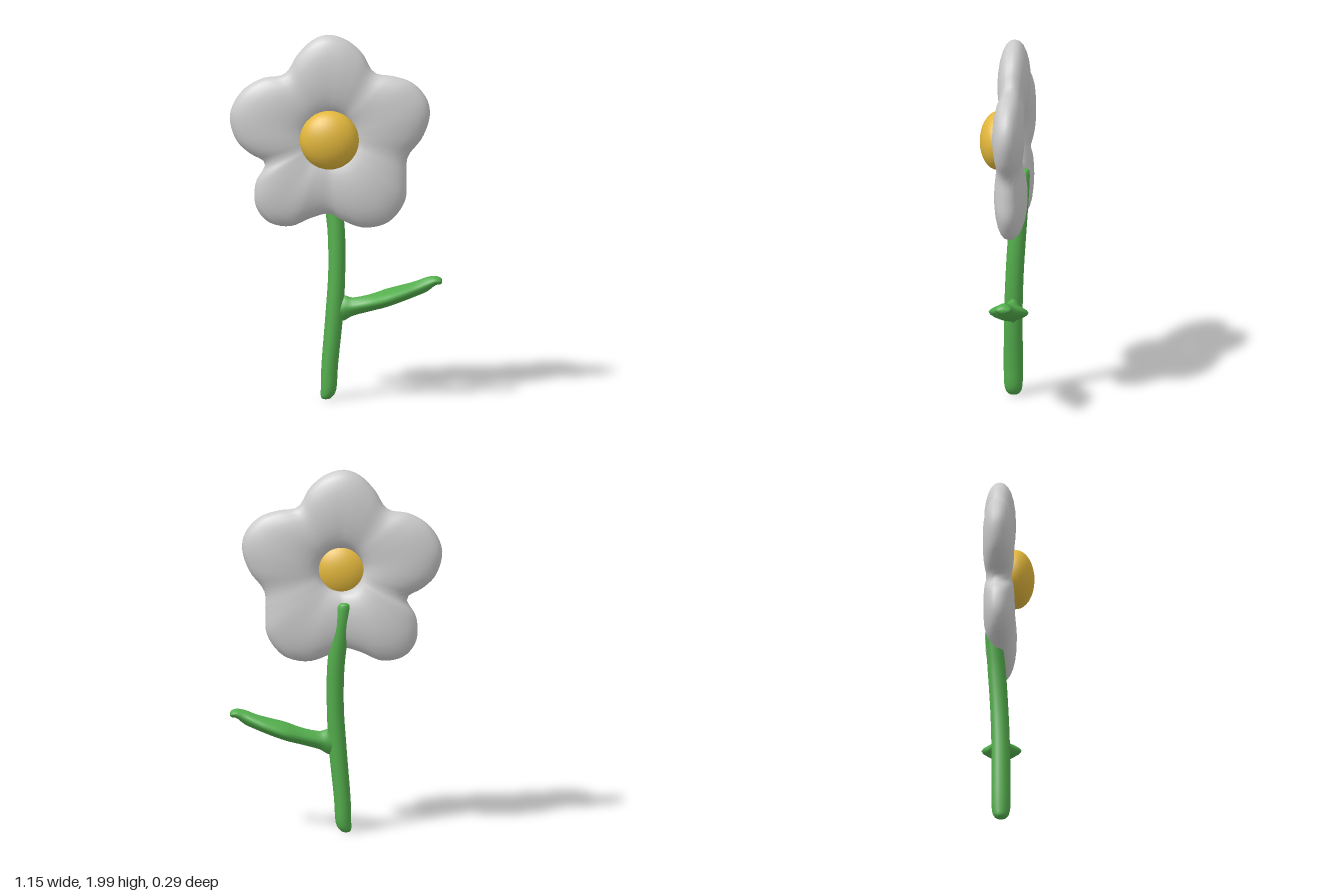
import * as THREE from 'three';

const TAU = Math.PI * 2;

// Skin a list of equal-sized rings; closed joins the last ring to the first
function loft(rings, closed = false) {
  const n = rings[0].length, position = [], index = [];
  rings.forEach(ring => ring.forEach(p => position.push(...p)));
  const spans = closed ? rings.length : rings.length - 1;
  for (let i = 0; i < spans; i++) {
    const k = (i + 1) % rings.length;
    for (let j = 0; j < n; j++) {
      const m = (j + 1) % n;
      const a = i * n + j, b = k * n + j, c = i * n + m, d = k * n + m;
      index.push(a, b, c, b, d, c);
    }
  }
  const geometry = new THREE.BufferGeometry();
  geometry.setAttribute('position', new THREE.Float32BufferAttribute(position, 3));
  geometry.setIndex(index);
  geometry.computeVertexNormals();
  return geometry;
}

const ring = (n, point) => Array.from({ length: n }, (_, j) => point(Math.cos(j / n * TAU), Math.sin(j / n * TAU)));

// Smoothly resample rows of four numbers along the first one
function resample(rows, steps) {
  const a = new THREE.CatmullRomCurve3(rows.map(r => new THREE.Vector3(r[0], r[1], r[2])), false, 'catmullrom', 0.5);
  const b = new THREE.CatmullRomCurve3(rows.map(r => new THREE.Vector3(r[3], r[4], 0)), false, 'catmullrom', 0.5);
  return Array.from({ length: steps + 1 }, (_, i) => {
    const p = a.getPoint(i / steps), q = b.getPoint(i / steps);
    return [p.x, p.y, p.z, Math.max(q.x, 0), Math.max(q.y, 0)];
  });
}

// Puffy ring of five petals around a small open hole
function petalGeometry() {
  const cx = -0.03, cy = 1.45, cz = -0.04, hole = 0.12;
  // outline x, y and half thickness
  const outline = [
    [0.505, 1.56, 0.085], [0.49, 1.65, 0.085], [0.41, 1.74, 0.082], [0.31, 1.775, 0.077],
    [0.205, 1.795, 0.07], [0.14, 1.9, 0.079], [0.05, 1.975, 0.085], [-0.05, 2.0, 0.085],
    [-0.13, 1.97, 0.084], [-0.21, 1.89, 0.078], [-0.28, 1.785, 0.07], [-0.4, 1.76, 0.078],
    [-0.51, 1.69, 0.084], [-0.575, 1.56, 0.085], [-0.54, 1.42, 0.083], [-0.47, 1.35, 0.077],
    [-0.385, 1.295, 0.068], [-0.435, 1.19, 0.078], [-0.435, 1.06, 0.084], [-0.37, 0.975, 0.085],
    [-0.25, 0.95, 0.085], [-0.14, 0.995, 0.077], [-0.04, 1.02, 0.07], [0.04, 0.98, 0.077],
    [0.15, 0.945, 0.084], [0.28, 0.975, 0.085], [0.37, 1.09, 0.084], [0.38, 1.22, 0.077],
    [0.385, 1.33, 0.07], [0.465, 1.44, 0.079],
  ];
  const curve = new THREE.CatmullRomCurve3(outline.map(p => new THREE.Vector3(...p)), true);
  const rings = curve.getSpacedPoints(120).slice(0, -1).map(p => {
    const dx = p.x - cx, dy = p.y - cy, r = Math.hypot(dx, dy);
    const mid = (r + hole) / 2, half = (r - hole) / 2;
    return ring(24, (c, s) => {
      const q = (mid + half * c) / r;
      return [cx + dx * q, cy + dy * q, cz + p.z * Math.sign(s) * Math.abs(s) ** 0.9];
    });
  });
  return loft(rings, true);
}

// Stem stations: x, y, z, half width, half depth
function stemGeometry() {
  const rows = [
    [-0.055, 0.008, -0.035, 0, 0], [-0.055, 0.012, -0.035, 0.026, 0.03], [-0.042, 0.06, -0.035, 0.042, 0.049],
    [-0.035, 0.2, -0.035, 0.045, 0.052], [-0.01, 0.48, -0.038, 0.048, 0.05], [0.002, 0.7, -0.046, 0.046, 0.049],
    [0, 0.9, -0.058, 0.047, 0.049], [-0.015, 1.05, -0.07, 0.047, 0.046], [-0.035, 1.18, -0.082, 0.042, 0.04],
    [-0.045, 1.255, -0.09, 0.036, 0.033], [-0.047, 1.275, -0.093, 0.02, 0.02], [-0.047, 1.278, -0.093, 0, 0],
  ];
  return loft(resample(rows, 44).map(([x, y, z, w, d]) => ring(16, (c, s) => [x + w * c, y, z + d * s])));
}

// Leaf stations: x, y, z, half height, half depth
function leafGeometry() {
  const rows = [
    [-0.01, 0.48, -0.04, 0.05, 0.035], [0.04, 0.503, -0.04, 0.068, 0.042], [0.09, 0.512, -0.04, 0.05, 0.046],
    [0.18, 0.533, -0.04, 0.047, 0.068], [0.27, 0.56, -0.04, 0.05, 0.108], [0.36, 0.588, -0.042, 0.046, 0.092],
    [0.43, 0.612, -0.042, 0.042, 0.066], [0.49, 0.637, -0.038, 0.04, 0.047], [0.535, 0.657, -0.036, 0.026, 0.045],
    [0.565, 0.655, -0.036, 0.017, 0.036], [0.572, 0.654, -0.036, 0, 0],
  ];
  const pinch = v => Math.sign(v) * Math.abs(v) ** 1.25;
  return loft(resample(rows, 40).map(([x, y, z, h, d]) =>
    ring(16, (c, s) => [x, y + h * pinch(c), z - d * pinch(s)])));
}

export function createModel() {
  const material = (name, color) => {
    const m = new THREE.MeshStandardMaterial({ color });
    m.name = name;
    return m;
  };
  const white = material('petal white', 0xcccccc);
  const yellow = material('centre yellow', 0xe2b73c);
  const green = material('leaf green', 0x53ad4c);

  const group = new THREE.Group();
  group.name = 'flower';
  const add = (name, geometry, mat) => {
    const mesh = new THREE.Mesh(geometry, mat);
    mesh.name = name;
    group.add(mesh);
    return mesh;
  };

  add('petals', petalGeometry(), white);
  add('stem', stemGeometry(), green);
  add('leaf', leafGeometry(), green);

  // Flattened button in front of the hole
  const centre = add('flowerCentre', new THREE.SphereGeometry(1, 28, 18), yellow);
  centre.scale.set(0.16, 0.16, 0.1);
  centre.position.set(-0.035, 1.437, 0.046);

  return group;
}
